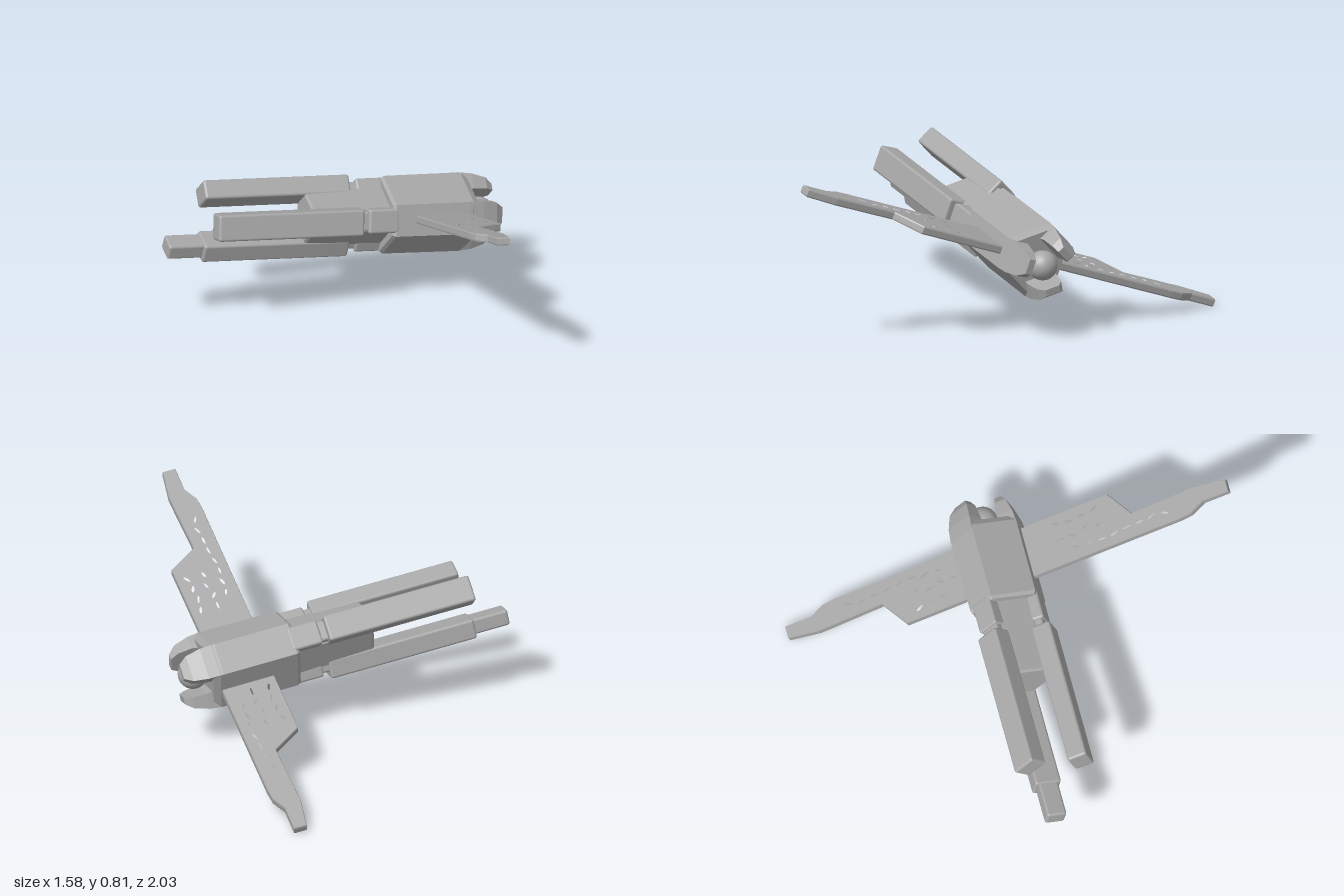
import * as THREE from 'three';
import { RoundedBoxGeometry } from 'three/addons/geometries/RoundedBoxGeometry.js';

const hullGrey = new THREE.MeshStandardMaterial({ color: 0xa8a8a8 });
hullGrey.name = 'hullGrey';

function add(parent, name, geometry) {
  const mesh = new THREE.Mesh(geometry, hullGrey);
  mesh.name = name;
  parent.add(mesh);
  return mesh;
}

// Skin rings of [z, y] points placed at stations along x, with flat end caps
function loft(stations) {
  const n = stations[0].ring.length, pos = [], idx = [];
  for (const { x, ring } of stations) for (const [z, y] of ring) pos.push(x, y, z);
  for (let i = 0; i < stations.length - 1; i++) {
    for (let j = 0; j < n; j++) {
      const a = i * n + j, b = i * n + (j + 1) % n;
      idx.push(a, a + n, b + n, a, b + n, b);
    }
  }
  const last = (stations.length - 1) * n;
  for (let j = 1; j < n - 1; j++) {
    idx.push(0, j, j + 1, last, last + j + 1, last + j);
  }
  const indexed = new THREE.BufferGeometry();
  indexed.setAttribute('position', new THREE.Float32BufferAttribute(pos, 3));
  indexed.setIndex(idx);
  const g = indexed.toNonIndexed();
  g.computeVertexNormals();
  return g;
}

// Six-sided section with narrow faces at the three pod directions
const ARMS = [0, 1, 2].map((i) => THREE.MathUtils.degToRad(-3 + 120 * i));
function hexRing(r) {
  const spread = THREE.MathUtils.degToRad(24);
  return ARMS.flatMap((t) => [t - spread, t + spread])
    .map((t) => [r * Math.cos(t), r * Math.sin(t)]);
}
const hexLoft = (list) => loft(list.map(([x, r]) => ({ x, ring: hexRing(r) })));

// Stepped wing outline with engraved slits, lying in the xz plane
function wingGeometry() {
  const outline = [
    [-0.135, 0], [-0.145, 0.85], [-0.14, 0.91], [-0.105, 0.98], [-0.108, 1.11],
    [-0.05, 1.11], [-0.025, 0.96], [-0.03, 0.635], [0.112, 0.545], [0.117, 0]];
  const shape = new THREE.Shape(outline.map(([x, y]) => new THREE.Vector2(x, y)));
  let seed = 7;
  const rand = () => (seed = (seed * 16807) % 2147483647) / 2147483647;
  for (let row = 0; row < 9; row++) {
    const t = 0.27 + row * 0.065;
    for (const s of t < 0.53 ? [-0.085, -0.01, 0.065] : [-0.088]) {
      if (rand() < 0.3) continue;
      const slit = new THREE.Path();
      slit.absellipse(s + 0.02 * (rand() - 0.5), t, 0.004 + 0.003 * rand(),
        0.016 + 0.008 * rand(), 0, Math.PI * 2, true, 1.6 * (rand() - 0.5));
      shape.holes.push(slit);
    }
  }
  const g = new THREE.ExtrudeGeometry(shape, {
    depth: 0.026, bevelEnabled: true, bevelThickness: 0.006,
    bevelSize: 0.003, bevelSegments: 1, curveSegments: 5 });
  g.translate(0, 0, -0.013);
  g.rotateX(Math.PI / 2);
  return g;
}

export function createModel() {
  const model = new THREE.Group();
  model.name = 'winged craft';

  // Flight attitude: x is forward along the hull, z runs along the wings
  const craft = new THREE.Group();
  craft.name = 'craft';
  const forward = new THREE.Vector3(1, -0.13, 0.27).normalize();
  const side = new THREE.Vector3(-0.215, 0.34, 0.915);
  side.addScaledVector(forward, -side.dot(forward)).normalize();
  const up = new THREE.Vector3().crossVectors(side, forward);
  craft.quaternion.setFromRotationMatrix(
    new THREE.Matrix4().makeBasis(forward, up, side));
  craft.position.set(0.44, 0.405, 0);
  model.add(craft);

  // Wings, the second turned half a circle
  const wingShape = wingGeometry();
  add(craft, 'leftWing', wingShape);
  add(craft, 'rightWing', wingShape).rotation.y = Math.PI;

  // Fuselage
  const body = new THREE.Group();
  body.name = 'fuselage';
  body.position.set(0, 0.005, -0.066);
  craft.add(body);
  add(body, 'hull', hexLoft(
    [[-0.25, 0.172], [-0.235, 0.184], [0.145, 0.186], [0.175, 0.165]]));
  add(body, 'neck', hexLoft(
    [[-0.63, 0.115], [-0.62, 0.125], [-0.24, 0.135]]));
  add(body, 'noseSphere', new THREE.SphereGeometry(0.07, 32, 20)).position.x = 0.232;

  // Three arms, each with a nose claw, a collar and a long rear pod
  const clawSection = (x, inner, outer, half) => ({
    x, ring: [[outer, -half], [outer, half], [inner, half], [inner, -half]] });
  const claw = loft([
    clawSection(0.13, 0.07, 0.171, 0.076), clawSection(0.2, 0.088, 0.163, 0.074),
    clawSection(0.27, 0.09, 0.145, 0.062), clawSection(0.305, 0.09, 0.122, 0.036)]);
  const box = (x0, x1, tall, deep) => {
    const g = new RoundedBoxGeometry(x1 - x0, tall, deep, 2, 0.012);
    g.translate((x0 + x1) / 2, 0, 0);
    return g;
  };
  ARMS.forEach((angle, i) => {
    const arm = new THREE.Group();
    arm.name = 'arm' + (i + 1);
    arm.rotation.x = -angle;
    body.add(arm);
    add(arm, 'noseClaw', claw);
    add(arm, 'collar', box(-0.37, -0.22, 0.115, 0.09)).position.z = 0.125;
    add(arm, 'collarJoint', box(-0.42, -0.35, 0.095, 0.08)).position.z = 0.118;
    add(arm, 'pod', box(-1.12, -0.4, 0.125, 0.095)).position.z = 0.143;
    // The lowest pod carries a slimmer tail
    if (i === 2) add(arm, 'podTail', box(-1.29, -1.1, 0.095, 0.075)).position.z = 0.138;
  });
  return model;
}
